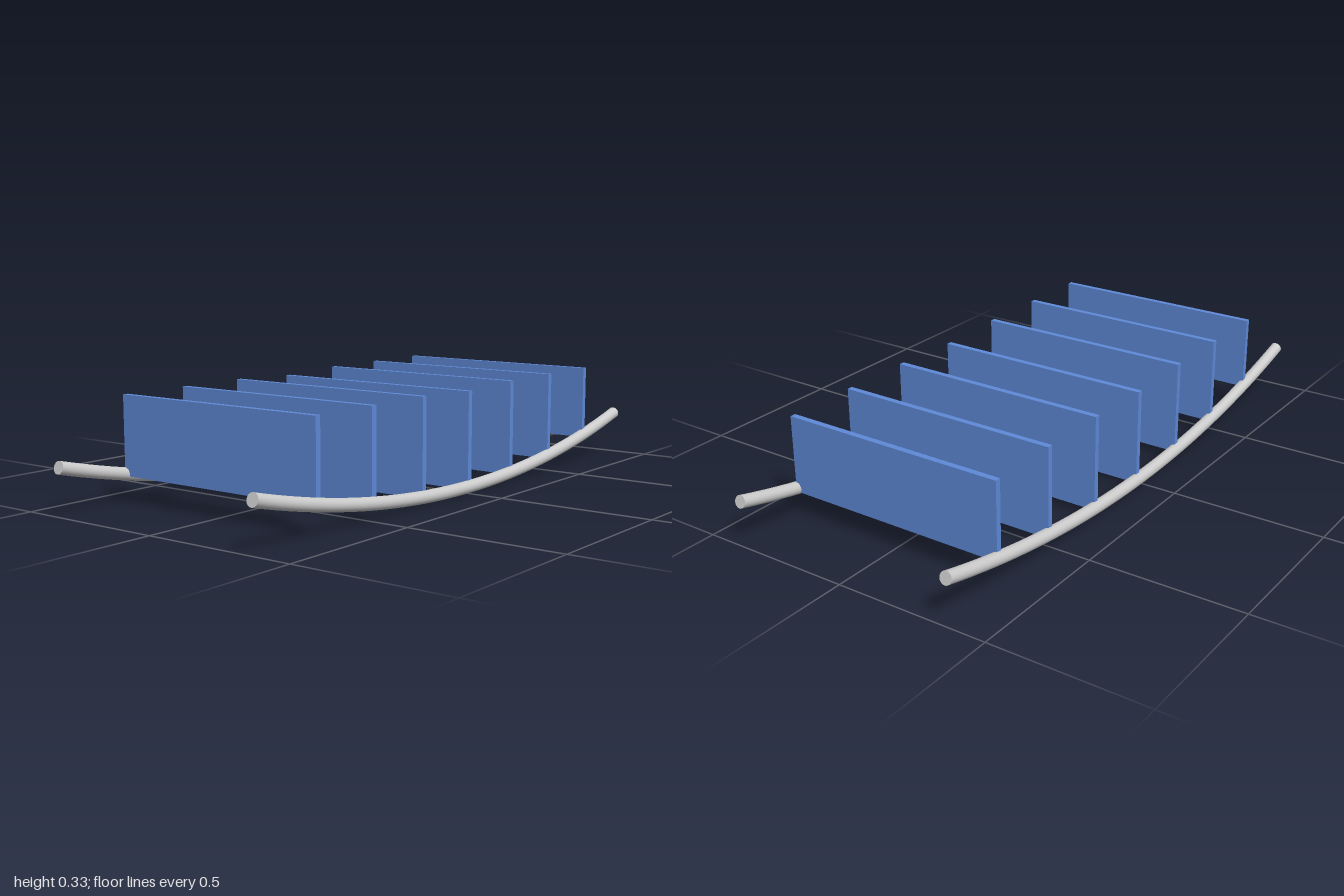
import * as THREE from 'three';

const RAIL_X = 0.373, RAIL_R = 0.02, HALF = 0.995, RISE = 0.125;
const ARC_R = (HALF * HALF + RISE * RISE) / (2 * RISE);
const ARC_ANGLE = Math.asin(HALF / ARC_R);

// Shallow circular arc in the yz plane, lowest at z = 0
class RailCurve extends THREE.Curve {
  getPoint(t, target = new THREE.Vector3()) {
    const a = (t * 2 - 1) * ARC_ANGLE;
    return target.set(0, RAIL_R + ARC_R * (1 - Math.cos(a)), ARC_R * Math.sin(a));
  }
}

// Curved round rail closed by flat discs
function makeRail(name, x, material) {
  const rail = new THREE.Group();
  rail.name = name;
  const curve = new RailCurve();
  const tube = new THREE.Mesh(new THREE.TubeGeometry(curve, 40, RAIL_R, 24), material);
  tube.name = 'railTube';
  rail.add(tube);
  for (const t of [0, 1]) {
    const cap = new THREE.Mesh(new THREE.CircleGeometry(RAIL_R, 24), material);
    cap.name = 'railEnd';
    cap.position.copy(curve.getPoint(t));
    const outward = curve.getTangent(t).multiplyScalar(t ? 1 : -1);
    cap.quaternion.setFromUnitVectors(new THREE.Vector3(0, 0, 1), outward);
    rail.add(cap);
  }
  rail.position.x = x;
  return rail;
}

export function createModel() {
  const model = new THREE.Group();
  model.name = 'curvedRack';
  const grey = new THREE.MeshStandardMaterial({ color: 0xcccccc });
  const blue = new THREE.MeshStandardMaterial({ color: 0x5f8ad8 });

  // Two side rails
  model.add(makeRail('leftRail', RAIL_X, grey), makeRail('rightRail', -RAIL_X, grey));

  // Upright panels, bottoms following the arc; indexed by distance from the middle
  const bottoms = [0.01, 0.022, 0.04, 0.083];
  for (let i = -3; i <= 3; i++) {
    const bottom = bottoms[Math.abs(i)];
    const top = i === 0 ? 0.322 : 0.331;
    const panel = new THREE.Mesh(new THREE.BoxGeometry(RAIL_X * 2, top - bottom, 0.019), blue);
    panel.name = 'panel';
    panel.position.set(0, (top + bottom) / 2, -0.014 + i * 0.249);
    model.add(panel);
  }
  return model;
}
